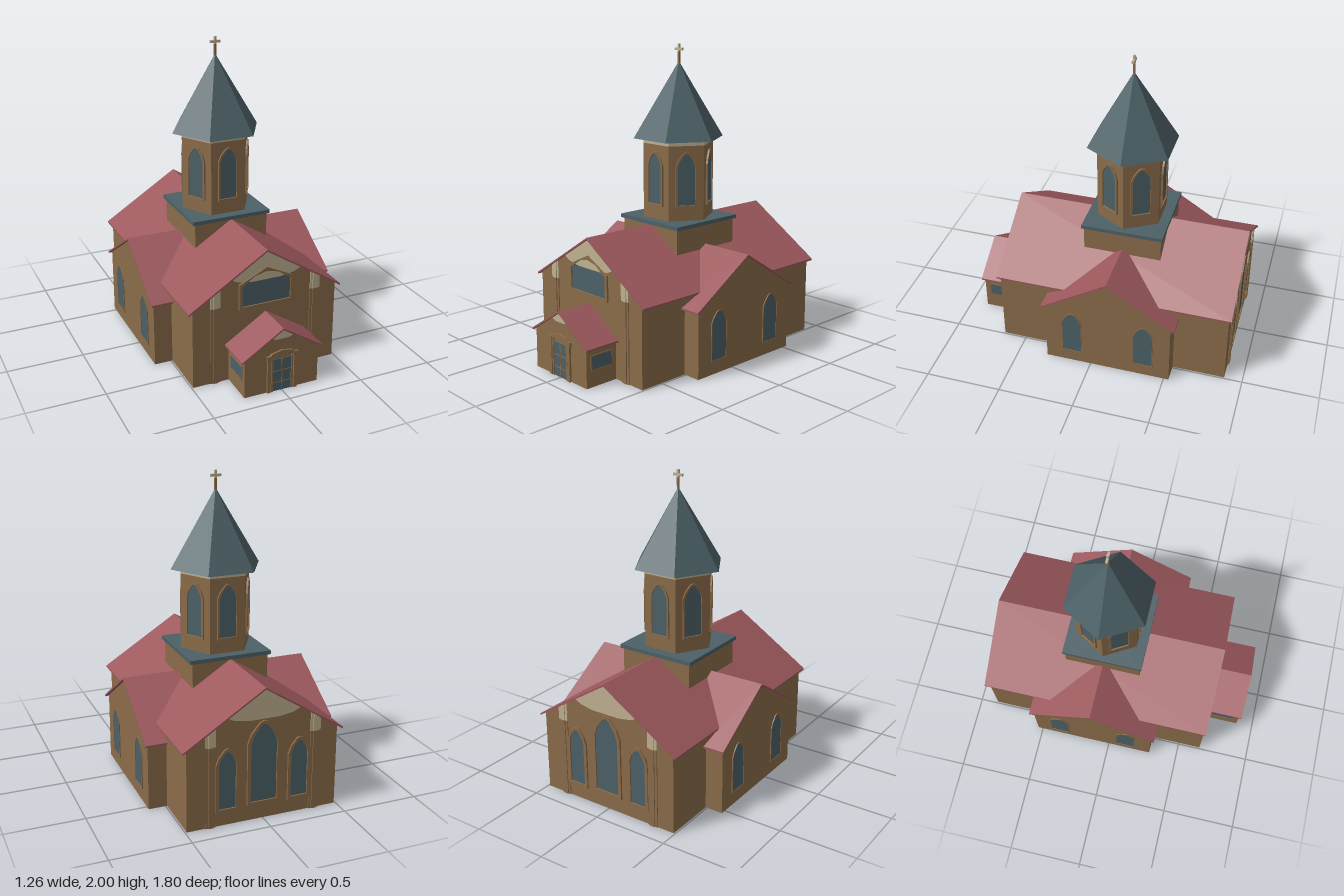
import * as THREE from 'three';

const mat = (name, color) => Object.assign(new THREE.MeshStandardMaterial({ color }), { name });

export function createModel() {
  const stone = mat('brown stone', 0x8b6c4a);
  stone.side = THREE.DoubleSide;
  const tiles = mat('red roof tiles', 0x9c585d);
  const slate = mat('blue slate', 0x4c6167);
  const cream = mat('cream plaster', 0xc0b191);

  const TOWER_Z = -0.115;
  const model = new THREE.Group();
  model.name = 'church';

  const add = (parent, name, geo, material, x = 0, y = 0, z = 0) => {
    const m = new THREE.Mesh(geo, material);
    m.name = name;
    m.position.set(x, y, z);
    parent.add(m);
    return m;
  };
  const group = (parent, name, x = 0, y = 0, z = 0, ry = 0) => {
    const g = new THREE.Group();
    g.name = name;
    g.position.set(x, y, z);
    g.rotation.y = ry;
    parent.add(g);
    return g;
  };
  const poly = (pts) => new THREE.Shape(pts.map(([x, y]) => new THREE.Vector2(x, y)));
  const extrude = (shape, depth) => new THREE.ExtrudeGeometry(shape, { depth, bevelEnabled: false });
  const box = (w, h, d) => new THREE.BoxGeometry(w, h, d);

  // Open-bottomed gabled walls, running from z0 to z1
  function gableWalls(parent, half, z0, z1, eave, peak, hasBack) {
    const face = new THREE.ShapeGeometry(poly([[-half, 0], [half, 0], [half, eave], [0, peak], [-half, eave]]));
    add(parent, 'gableWall', face, stone, 0, 0, z1);
    if (hasBack) add(parent, 'backGableWall', face, stone, 0, 0, z0).rotation.y = Math.PI;
    for (const s of [-1, 1]) {
      const side = new THREE.PlaneGeometry(z1 - z0, eave);
      add(parent, 'sideWall', side, stone, s * half, eave / 2, (z0 + z1) / 2).rotation.y = s * Math.PI / 2;
    }
  }

  // Two mirrored roof slopes from a plan outline [x, z], sloping down from the ridge at x = 0
  function roof(parent, outline, ridge, slope) {
    for (const s of [-1, 1]) {
      const g = extrude(poly(outline.map(([x, z]) => [s * x, -z])), 0.012).rotateX(-Math.PI / 2);
      const p = g.attributes.position;
      for (let i = 0; i < p.count; i++) {
        p.setY(i, p.getY(i) - 0.012 + ridge - slope * Math.abs(p.getX(i)));
      }
      g.computeVertexNormals();
      add(parent, 'roofSlope', g, tiles);
    }
  }

  const arch = (w, h, y = 0) => {
    const r = Math.min(w * 0.75, h * 0.25);
    return [[-w / 2, y], [w / 2, y], [w / 2, y + h - r], [w * 0.38, y + h - r * 0.55], [w * 0.13, y + h - r * 0.08],
      [0, y + h], [-w * 0.13, y + h - r * 0.08], [-w * 0.38, y + h - r * 0.55], [-w / 2, y + h - r]];
  };

  // Glass plate inside a raised stone surround, facing +z
  function framedWindow(parent, name, outer, inner, depth, x, y, z, ry = 0) {
    const g = group(parent, name, x, y, z, ry);
    const ring = poly(outer);
    ring.holes.push(poly(inner));
    add(g, 'surround', extrude(ring, depth), stone);
    add(g, 'glass', extrude(poly(inner), 0.003), slate);
    return g;
  }
  const archWindow = (parent, w, h, f, depth, x, y, z, ry) =>
    framedWindow(parent, 'archedWindow', arch(w + 2 * f, h + 2 * f, -f), arch(w, h), depth, x, y, z, ry);

  // Nave
  const nave = group(model, 'nave');
  gableWalls(nave, 0.49, -0.88, 0.655, 0.527, 0.838, true);
  roof(nave, [[0, -0.9], [0.52, -0.9], [0.52, 0.67], [0, 0.67]], 0.85, 0.635);

  // Gable plaster and pilasters at both ends of the nave
  for (const [z, ry] of [[0.655, 0], [-0.88, Math.PI]]) {
    const end = group(nave, 'naveEnd', 0, 0, z, ry);
    const crest = poly([[0, 0.836], [-0.235, 0.688], [-0.19, 0.665], [-0.1, 0.65], [0.1, 0.65], [0.19, 0.665], [0.235, 0.688]]);
    add(end, 'gablePlaster', extrude(crest, 0.004), cream);
    for (const s of [-1, 1]) {
      for (const [a, b, d] of [[0.308, 0.375, 0.006], [0.325, 0.358, 0.012]]) {
        add(end, 'pilaster', box(b - a, 0.52, d), stone, s * (a + b) / 2, 0.26, d / 2);
        const cap = poly([[s * a, 0.52], [s * b, 0.52], [s * b, 0.836 - 0.635 * b], [s * a, 0.836 - 0.635 * a]]);
        add(end, 'pilasterCap', extrude(cap, d), cream);
      }
    }
    if (ry === 0) {
      // Wide pointed window over the porch
      framedWindow(end, 'gableWindow',
        [[-0.185, 0.475], [0.185, 0.475], [0.185, 0.645], [0, 0.735], [-0.185, 0.645]],
        [[-0.165, 0.492], [0.165, 0.492], [0.165, 0.63], [0.08, 0.69], [0, 0.708], [-0.08, 0.69], [-0.165, 0.63]],
        0.012, 0, 0, 0);
    } else {
      // Three tall windows
      archWindow(end, 0.17, 0.5, 0.022, 0.012, 0, 0.12, 0);
      for (const s of [-1, 1]) archWindow(end, 0.11, 0.37, 0.02, 0.012, s * 0.235, 0.11, 0);
    }
  }

  // Transept wings, roof cut along the valleys with the nave
  for (const s of [-1, 1]) {
    const wing = group(model, s > 0 ? 'leftTransept' : 'rightTransept', 0, 0, TOWER_Z, s * Math.PI / 2);
    gableWalls(wing, 0.418, 0.49, 0.61, 0.445, 0.708, false);
    roof(wing, [[0, 0.2], [0.318, 0.52], [0.445, 0.49], [0.445, 0.63], [0, 0.63]], 0.72, 0.63);
    for (const t of [-1, 1]) archWindow(wing, 0.125, 0.315, 0.006, 0.006, t * 0.24, 0.092, 0.61);
  }

  // Porch
  const porch = group(model, 'porch');
  gableWalls(porch, 0.25, 0.655, 0.885, 0.258, 0.418, false);
  roof(porch, [[0, 0.655], [0.275, 0.655], [0.275, 0.9], [0, 0.9]], 0.43, 0.636);
  add(porch, 'porchPlaster', extrude(poly([[0, 0.416], [-0.072, 0.37], [-0.045, 0.357], [0.045, 0.357], [0.072, 0.37]]), 0.004),
    cream, 0, 0, 0.885);
  for (const s of [-1, 1]) {
    framedWindow(porch, 'porchWindow',
      [[-0.085, 0.105], [0.085, 0.105], [0.085, 0.205], [-0.085, 0.205]],
      [[-0.077, 0.112], [0.077, 0.112], [0.077, 0.197], [-0.077, 0.197]],
      0.005, s * 0.25, 0, 0.768, s * Math.PI / 2);
  }

  // Door with columns and arched hood
  const door = group(porch, 'door', 0, 0, 0.885);
  add(door, 'doorPanel', box(0.125, 0.22, 0.004), slate, 0, 0.11, 0.002);
  add(door, 'doorMullion', box(0.006, 0.22, 0.006), stone, 0, 0.11, 0.003);
  for (const y of [0.06, 0.14]) add(door, 'doorRail', box(0.125, 0.005, 0.006), stone, 0, y, 0.003);
  for (const s of [-1, 1]) {
    add(door, 'doorJamb', box(0.012, 0.23, 0.01), stone, s * 0.068, 0.115, 0.005);
    add(door, 'doorColumn', box(0.022, 0.23, 0.013), stone, s * 0.09, 0.115, 0.0065);
    add(door, 'columnCapital', box(0.032, 0.03, 0.015), stone, s * 0.09, 0.24, 0.0075);
  }
  const hood = poly([[-0.1, 0.24], [-0.07, 0.268], [0, 0.282], [0.07, 0.268], [0.1, 0.24],
    [0.075, 0.225], [0.055, 0.248], [0, 0.258], [-0.055, 0.248], [-0.075, 0.225]]);
  add(door, 'doorHood', extrude(hood, 0.012), stone);

  // Tower base, its underside following the nave roof
  const tower = group(model, 'tower', 0, 0, TOWER_Z);
  const base = poly([[-0.255, 0.855], [-0.255, 0.685], [0, 0.846], [0.255, 0.685], [0.255, 0.855]]);
  add(tower, 'towerBase', extrude(base, 0.515), stone, 0, 0, -0.2575);
  add(tower, 'towerSlab', box(0.545, 0.025, 0.54), slate, 0, 0.8625, 0);

  // Six-sided drum, band and spire with corners on the x axis
  const hex = (top, bottom, h) => {
    const g = new THREE.CylinderGeometry(top, bottom, h, 6).rotateY(Math.PI / 6).toNonIndexed();
    g.computeVertexNormals();
    return g;
  };
  add(tower, 'drum', hex(0.236, 0.236, 0.49), stone, 0, 1.12, 0);
  add(tower, 'drumBand', hex(0.237, 0.237, 0.035), cream, 0, 1.3825, 0);
  add(tower, 'spire', hex(0, 0.302, 0.495), slate, 0, 1.6425, 0);
  for (let i = 0; i < 6; i++) {
    const side = group(tower, 'drumSide', 0, 0, 0, i * Math.PI / 3);
    archWindow(side, 0.115, 0.335, 0.013, 0.012, 0, 0.978, 0.2044);
  }

  // Cross
  const cross = group(tower, 'cross');
  add(cross, 'crossStem', box(0.013, 0.09, 0.013), stone, 0, 1.915, 0);
  add(cross, 'crossTop', box(0.014, 0.05, 0.014), cream, 0, 1.975, 0);
  add(cross, 'crossArms', box(0.07, 0.016, 0.015), cream, 0, 1.967, 0);

  return model;
}
